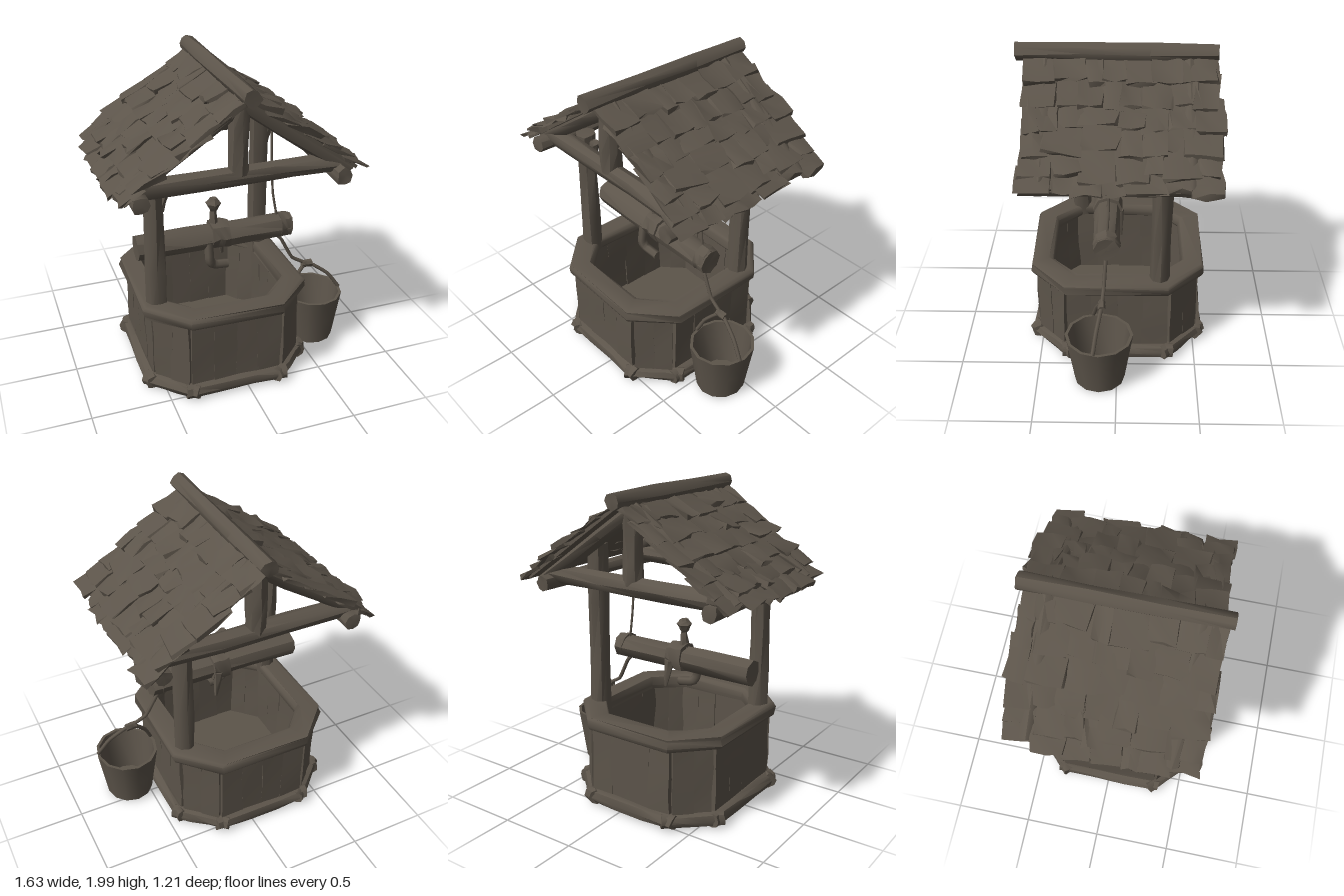
import * as THREE from 'three';
import { mergeGeometries, toCreasedNormals } from 'three/addons/utils/BufferGeometryUtils.js';

const V = (x, y, z) => new THREE.Vector3(x, y, z);
const CX = -0.077; // centre of the well shaft

export function createModel() {
  const model = new THREE.Group();
  const wood = new THREE.MeshStandardMaterial({ color: 0x5c544a });
  wood.name = 'weathered wood';

  // seeded random, and a position hash so shared corners move together
  let state = 7;
  const rnd = () => ((state = (state * 16807) % 2147483647) / 2147483647);
  const hash = (x, y, z, k) => {
    const s = Math.sin(x * 127.1 + y * 311.7 + z * 74.7 + k * 53.3) * 4375.85;
    return (s - Math.floor(s)) * 2 - 1;
  };
  let seed = 0;
  function roughen(geo, amount) {
    const p = geo.attributes.position;
    seed++;
    for (let i = 0; i < p.count; i++) {
      const c = [p.getX(i), p.getY(i), p.getZ(i)].map((v) => Math.round(v * 1000) / 1000 + 0);
      p.setXYZ(i, ...c.map((v, k) => v + amount * hash(...c, seed * 3 + k)));
    }
    return geo;
  }
  function add(name, geo, parent = model, crease = 0.75) {
    const mesh = new THREE.Mesh(toCreasedNormals(geo, crease), wood);
    mesh.name = name;
    parent.add(mesh);
    return mesh;
  }
  function group(name, parent = model) {
    const g = new THREE.Group();
    g.name = name;
    parent.add(g);
    return g;
  }
  // rough log from a to b
  function log(name, a, b, r0, r1 = r0, parent = model, rough = 0.007, sides = 8) {
    const d = b.clone().sub(a);
    const geo = roughen(new THREE.CylinderGeometry(r1, r0, d.length(), sides, 3), rough);
    geo.applyQuaternion(new THREE.Quaternion().setFromUnitVectors(V(0, 1, 0), d.clone().normalize()));
    geo.translate(...a.clone().add(b).multiplyScalar(0.5).toArray());
    return add(name, geo, parent);
  }
  const tube = (name, pts, r, parent = model) =>
    add(name, new THREE.TubeGeometry(new THREE.CatmullRomCurve3(pts, false, 'catmullrom', 0.2), 16, r, 6), parent, 1.2);

  // eight-sided outline with cut corners, f scales the long edges
  const octagon = (hx, hz, y = 0, f = 1) => {
    const ex = 0.285 * f, ez = 0.315 * f;
    return [[ex, hz], [hx, ez], [hx, -ez], [ex, -hz], [-ex, -hz], [-hx, -ez], [-hx, ez], [-ex, hz]]
      .map(([x, z]) => V(CX + x, y, z));
  };
  const flat = (pts) => pts.map((p) => new THREE.Vector2(p.x, -p.z));

  // shaft: planks on each side, base logs, broad rim and floor
  const shaft = group('wellShaft');
  const wall = octagon(0.45, 0.48, 0.3);
  wall.forEach((p, i) => {
    const d = wall[(i + 1) % 8].clone().sub(p);
    const planks = d.length() < 0.4 ? 2 : 4;
    for (let k = 0; k < planks; k++) {
      const geo = roughen(new THREE.BoxGeometry(d.length() / planks + 0.01, 0.5, 0.075, 1, 3, 1), 0.006);
      geo.rotateY(Math.atan2(-d.z, d.x));
      geo.translate(...p.clone().addScaledVector(d, (k + 0.5) / planks).toArray());
      add('wallPlank', geo, shaft, 0.5);
    }
  });
  const base = octagon(0.495, 0.515, 0.056);
  base.forEach((p, i) => {
    const q = base[(i + 1) % 8], d = q.clone().sub(p).normalize().multiplyScalar(0.045);
    log('baseLog', p.clone().sub(d), q.clone().add(d), 0.047, 0.047, shaft, 0.006);
  });
  const rimShape = new THREE.Shape(flat(octagon(0.505, 0.525)));
  rimShape.holes.push(new THREE.Path(flat(octagon(0.415, 0.435, 0, 0.84)).reverse()));
  const rim = new THREE.ExtrudeGeometry(rimShape, {
    depth: 0.04, bevelThickness: 0.024, bevelSize: 0.024, bevelSegments: 2,
  });
  add('rim', roughen(rim.rotateX(-Math.PI / 2).translate(0, 0.532, 0), 0.008), shaft, 0.9);
  const floor = new THREE.ExtrudeGeometry(new THREE.Shape(flat(octagon(0.48, 0.5))), { depth: 0.03, bevelEnabled: false });
  add('shaftFloor', floor.rotateX(-Math.PI / 2).translate(0, 0.015, 0), shaft);

  // two diagonal posts with small braces
  log('leftFrontPost', V(-0.51, 0.52, 0.265), V(-0.51, 1.43, 0.265), 0.064, 0.062);
  log('rightBackPost', V(0.35, 0.52, -0.265), V(0.35, 1.62, -0.265), 0.064, 0.062);
  log('postBrace', V(-0.465, 1.2, 0.265), V(-0.42, 1.4, 0.265), 0.015, 0.035);
  log('postBrace', V(0.375, 1.2, -0.265), V(0.41, 1.42, -0.265), 0.015, 0.035);

  // winding roller with collar, knob and crank
  const winch = group('winch');
  log('roller', V(-0.58, 0.865, 0.065), V(0.44, 0.87, 0.065), 0.082, 0.08, winch, 0.008);
  log('rollerCollar', V(-0.1, 0.875, 0.065), V(0.02, 0.875, 0.065), 0.096, 0.096, winch);
  log('rollerEnd', V(0.37, 0.87, 0.065), V(0.435, 0.87, 0.065), 0.086, 0.08, winch);
  log('knobStem', V(-0.075, 0.94, 0.065), V(-0.075, 1.07, 0.065), 0.035, 0.014, winch, 0.003, 6);
  log('knob', V(-0.075, 1.03, 0.065), V(-0.075, 1.095, 0.065), 0.014, 0.05, winch, 0.003, 6);
  log('knobCap', V(-0.075, 1.095, 0.065), V(-0.075, 1.128, 0.065), 0.05, 0.022, winch, 0.003, 6);
  tube('crank', [V(-0.125, 0.87, 0.12), V(-0.125, 0.74, 0.14), V(-0.1, 0.695, 0.13), V(0, 0.68, 0.12)], 0.03, winch);
  log('hangingPeg', V(-0.01, 0.86, -0.005), V(0.01, 0.68, -0.02), 0.035, 0.01, winch, 0.003, 6);

  // rope from the roof, past the roller, down to the bucket
  tube('upperRope', [V(0.31, 1.6, 0.05), V(0.315, 1.34, 0.055), V(0.33, 1.1, 0.05), V(0.36, 0.92, 0.06)], 0.008);
  tube('lowerRope', [V(0.33, 0.82, 0.07), V(0.39, 0.76, 0.07), V(0.47, 0.61, 0.08), V(0.575, 0.55, 0.09)], 0.012);

  // bucket with a bail handle
  const bucket = group('bucket');
  const profile = [[0, 0.012], [0.158, 0.012], [0.183, 0.18], [0.209, 0.35], [0.19, 0.35], [0.143, 0.05], [0, 0.05]];
  const pail = new THREE.LatheGeometry(profile.map(([x, y]) => new THREE.Vector2(x, y)), 12);
  add('pail', pail.scale(0.96, 1, 1.01).translate(0.612, 0, 0.108), bucket);
  tube('bucketHandle', [V(0.425, 0.35, 0.15), V(0.47, 0.45, 0.125), V(0.575, 0.555, 0.09),
    V(0.72, 0.46, 0.12), V(0.8, 0.35, 0.14)], 0.013, bucket);
  log('handleKnot', V(0.54, 0.55, 0.09), V(0.61, 0.545, 0.09), 0.022, 0.026, bucket, 0.003, 6);

  // roof frame: a truss set in from each gable, eave logs and ridge
  const frame = group('roofFrame');
  for (const z of [0.415, -0.415]) {
    log('tieBeam', V(-0.66, 1.425, z), V(0.58, 1.43, z), 0.06, 0.06, frame);
    log('kingPost', V(-0.045, 1.44, z), V(-0.04, 1.88, z), 0.064, 0.06, frame);
    log('rafter', V(-0.72, 1.4, z), V(-0.01, 1.885, z), 0.06, 0.06, frame);
    log('rafter', V(0.65, 1.395, z), V(-0.05, 1.885, z), 0.06, 0.06, frame);
  }
  log('eaveLog', V(-0.64, 1.385, -0.53), V(-0.64, 1.385, 0.54), 0.05, 0.05, frame);
  log('eaveLog', V(0.57, 1.38, -0.53), V(0.57, 1.38, 0.54), 0.05, 0.05, frame);
  log('ridgeLog', V(-0.03, 1.935, -0.58), V(-0.03, 1.935, 0.595), 0.053, 0.053, frame);

  // roof slopes: thin deck under rows of uneven shingles
  const slopes = [['rightRoof', 0.885, 0, -0.02], ['leftRoof', 0.91, Math.PI, 0.008]];
  for (const [name, len, turn, shift] of slopes) {
    const side = group(name);
    side.position.set(-0.03, 1.925, shift);
    side.rotation.y = turn;
    const slope = group('slope', side);
    slope.rotation.z = -0.615;
    add('roofDeck', new THREE.BoxGeometry(len - 0.04, 0.02, 1.06).translate(len / 2 - 0.01, -0.018, 0), slope);
    const rows = 6, step = len / rows, shingles = [];
    for (let i = 0; i < rows; i++) {
      let z = -0.545 - 0.03 * rnd();
      while (z < 0.52) {
        let w = 0.09 + 0.13 * rnd();
        if (z + w > 0.48) w = 0.545 + 0.03 * rnd() - z;
        const l = step + 0.04 + 0.07 * rnd() - (i === rows - 1 ? 0.06 : 0);
        const geo = new THREE.BoxGeometry(l, 0.022, w + 0.006, 2, 1, 2);
        roughen(geo, 0.014);
        geo.translate(l / 2, 0, 0).rotateZ(0.08 + 0.1 * rnd()).rotateY((rnd() - 0.5) * 0.16);
        geo.translate(i * step - 0.01, -0.012, z + w / 2);
        shingles.push(geo);
        z += w;
      }
    }
    add('shingles', mergeGeometries(shingles), slope, 0.6);
  }
  return model;
}
